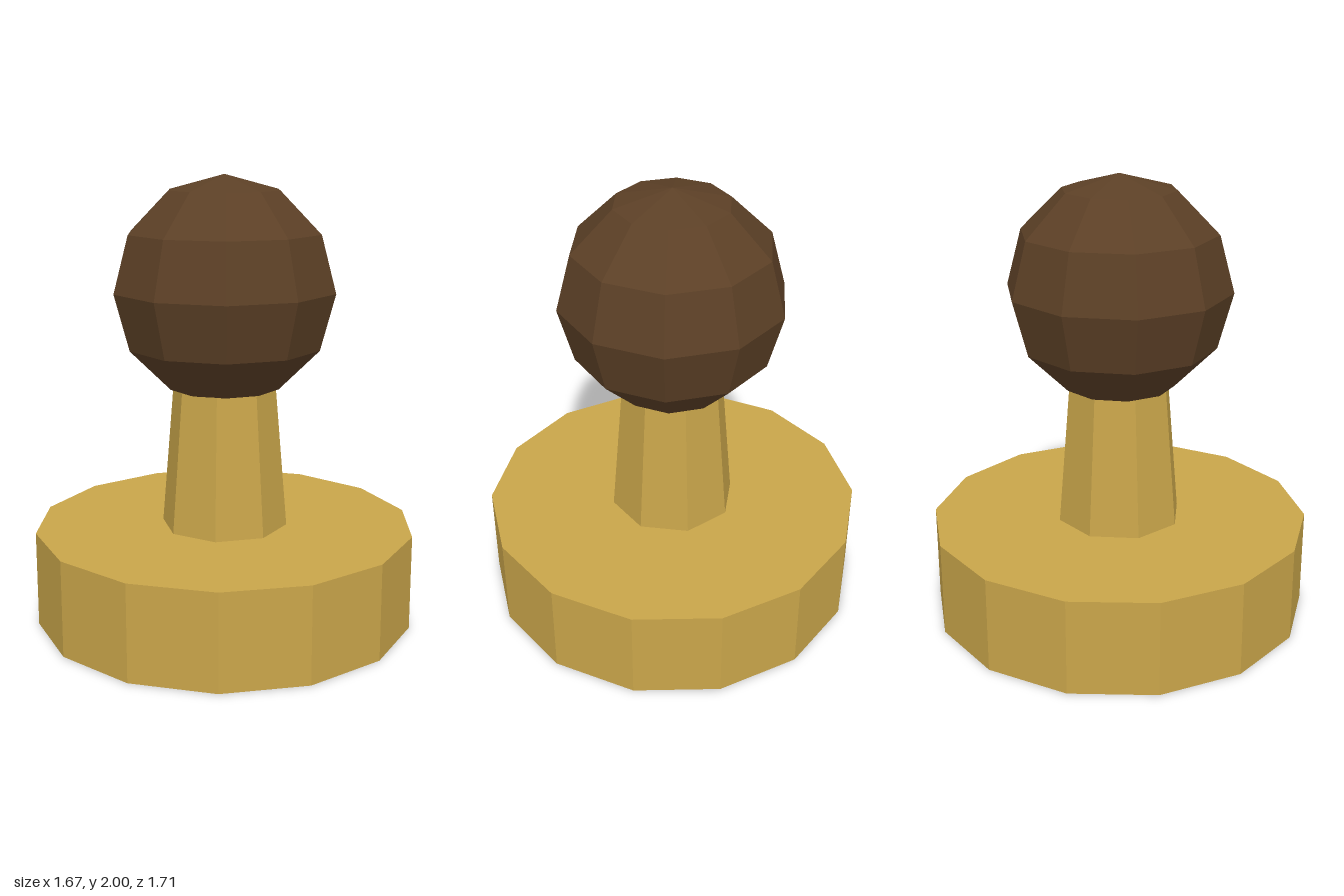
import * as THREE from 'three';

export function createModel() {
  const model = new THREE.Group();
  const gold = new THREE.MeshStandardMaterial({ color: 0xc9a54a, flatShading: true });
  gold.name = 'gold';
  const brown = new THREE.MeshStandardMaterial({ color: 0x5c4026, flatShading: true });
  brown.name = 'darkBrown';

  const add = (name, geometry, material, y) => {
    const mesh = new THREE.Mesh(geometry, material);
    mesh.name = name;
    mesh.position.y = y;
    model.add(mesh);
  };

  // Fourteen-sided foot, standing on the ground
  const baseHeight = 0.43;
  add('base', new THREE.CylinderGeometry(0.857, 0.857, baseHeight, 14), gold, baseHeight / 2);

  // Tapered eight-sided stem, running slightly into the ball
  const stemTop = 1.14;
  const stemHeight = stemTop - baseHeight;
  add('stem', new THREE.CylinderGeometry(0.225, 0.285, stemHeight, 8), gold, baseHeight + stemHeight / 2);

  // Faceted ball on top
  add('ball', new THREE.SphereGeometry(0.5, 10, 6), brown, 1.5);

  return model;
}
